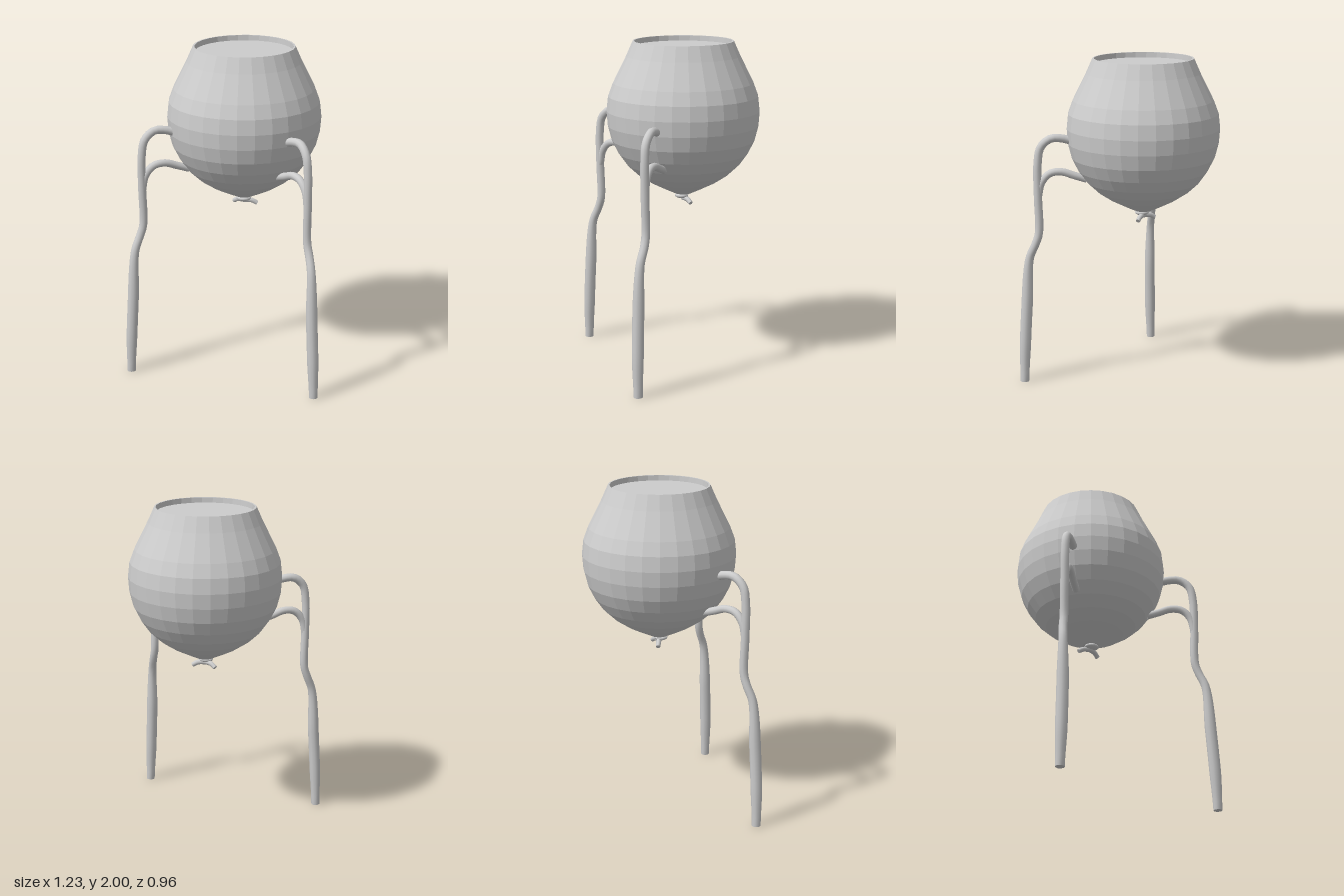
import * as THREE from 'three';
import { mergeVertices, toCreasedNormals } from 'three/addons/utils/BufferGeometryUtils.js';

const grey = new THREE.MeshStandardMaterial({ color: 0xcccccc });
grey.name = 'plain grey';
const facetedGrey = grey.clone();
facetedGrey.flatShading = true;

function add(parent, name, geometry, material = grey) {
  const mesh = new THREE.Mesh(geometry, material);
  mesh.name = name;
  parent.add(mesh);
  return mesh;
}

// Closed tube whose radius follows radiusAt(u); the end rings fold in as flat caps
function taperedTube(points, radiusAt, rings, sides = 10) {
  const curve = new THREE.CatmullRomCurve3(points.map((p) => new THREE.Vector3(...p)));
  const geometry = new THREE.TubeGeometry(curve, rings, 1, sides);
  const pos = geometry.attributes.position;
  const v = new THREE.Vector3();
  for (let i = 0; i <= rings; i++) {
    const centre = curve.getPointAt(i / rings);
    const cap = i === 0 || i === rings;
    const end = i === 1 ? 0 : i === rings - 1 ? 1 : i / rings;
    const target = curve.getPointAt(end);
    const r = cap ? 0 : radiusAt(end);
    for (let j = 0; j <= sides; j++) {
      const k = i * (sides + 1) + j;
      v.fromBufferAttribute(pos, k).sub(centre).multiplyScalar(r).add(target);
      pos.setXYZ(k, v.x, v.y, v.z);
    }
  }
  geometry.deleteAttribute('uv');
  geometry.deleteAttribute('normal');
  return toCreasedNormals(mergeVertices(geometry, 1e-5), 0.9);
}

function makeLeg(side) {
  const leg = new THREE.Group();
  leg.name = side > 0 ? 'leftLeg' : 'rightLeg';
  const at = (list) => list.map(([x, y, z]) => [x * side, y, z]);

  // Upper arm bends over and runs down to the foot
  add(leg, 'legTube', taperedTube(at([
    [0.34, 1.51, 0.25], [0.4, 1.53, 0.29], [0.45, 1.53, 0.325], [0.495, 1.48, 0.365],
    [0.511, 1.38, 0.378], [0.513, 1.18, 0.378], [0.513, 0.95, 0.375], [0.53, 0.88, 0.39],
    [0.552, 0.79, 0.42], [0.565, 0.5, 0.437], [0.58, 0.2, 0.447], [0.587, 0, 0.448],
  ]), (u) => 0.025 + 0.01 * THREE.MathUtils.smoothstep(u, 0.5, 0.7)
    - 0.008 * THREE.MathUtils.smoothstep(u, 0.85, 1), 60));

  // Lower arm branches off to the bowl
  add(leg, 'lowerArm', taperedTube(at([
    [0.28, 1.275, 0.195], [0.34, 1.3, 0.24], [0.4, 1.325, 0.29],
    [0.455, 1.315, 0.335], [0.495, 1.26, 0.365], [0.511, 1.17, 0.378],
  ]), () => 0.023, 20));
  return leg;
}

export function createModel() {
  const model = new THREE.Group();
  model.name = 'vesselOnLegs';

  // Faceted round bowl
  const profile = [
    [0, 1.055], [0.05, 1.065], [0.12, 1.098], [0.2, 1.138], [0.28, 1.19], [0.345, 1.25],
    [0.395, 1.32], [0.435, 1.4], [0.458, 1.49], [0.465, 1.58], [0.455, 1.67],
    [0.425, 1.75], [0.39, 1.82], [0.345, 1.91], [0.305, 2], [0.295, 2], [0.293, 1.965],
  ].map(([r, y]) => new THREE.Vector2(r, y));
  const bowl = add(model, 'bowl', new THREE.LatheGeometry(profile, 28), facetedGrey);
  bowl.position.z = -0.015;

  // Disc sunk just below the rim
  const disc = add(model, 'sunkenDisc', new THREE.CircleGeometry(0.296, 28));
  disc.rotation.x = -Math.PI / 2;
  disc.position.set(0, 1.968, -0.015);

  // Knot under the bowl with a small flared tail
  const knot = add(model, 'knot', new THREE.SphereGeometry(1, 14, 8));
  knot.scale.set(0.046, 0.018, 0.042);
  knot.position.set(0, 1.052, -0.005);
  add(model, 'knotTail', taperedTube([
    [-0.075, 1.014, -0.04], [-0.045, 1.032, -0.03], [0, 1.036, -0.018],
    [0.045, 1.032, -0.03], [0.075, 1.014, -0.04],
  ], (u) => 0.017 - 0.003 * Math.abs(2 * u - 1), 16, 8));

  for (const side of [1, -1]) model.add(makeLeg(side));
  return model;
}
